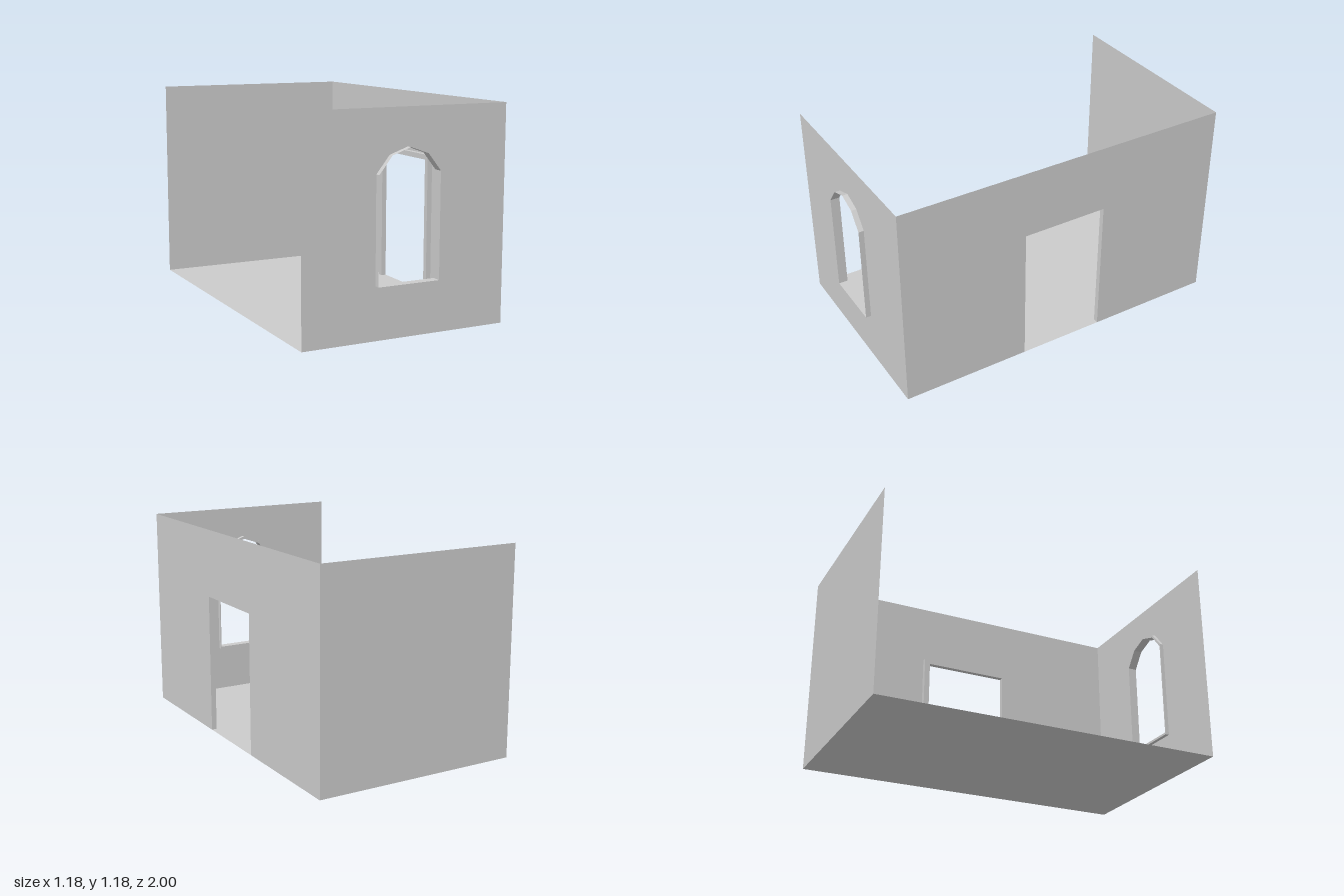
import * as THREE from 'three';

const X = 0.59, H = 1.18, BACK = -1, FRONT = 0.97;
const grey = new THREE.MeshStandardMaterial({ color: 0xcccccc, flatShading: true, side: THREE.DoubleSide });

const outline = (pts) => pts.map(([x, y]) => new THREE.Vector2(x, y));

// Pointed-arch outline, mirrored about x = 0
function arch(halfWidth, bottom, spring, shoulderX, shoulderY, apex) {
  const right = [[halfWidth, bottom], [halfWidth, spring], [shoulderX, shoulderY]];
  const left = right.map(([x, y]) => [-x, y]).reverse();
  return outline([...right, [0, apex], ...left]);
}

// Doorway outline standing on the floor
const doorway = (x0, x1, top) => [[x0, 0], [x0, top], [x1, top], [x1, 0]];

function add(parent, name, geometry) {
  const mesh = new THREE.Mesh(geometry, grey);
  mesh.name = name;
  parent.add(mesh);
  return mesh;
}

const extrude = (shape, depth) => new THREE.ExtrudeGeometry(shape, { depth, bevelEnabled: false });

// Open tube of zero thickness following a closed outline
function sleeve(pts, z0, z1) {
  const position = [], index = [], n = pts.length;
  pts.forEach((p) => position.push(p.x, p.y, z0, p.x, p.y, z1));
  for (let i = 0; i < n; i++) {
    const a = 2 * i, b = 2 * ((i + 1) % n);
    index.push(a, b, b + 1, a, b + 1, a + 1);
  }
  const g = new THREE.BufferGeometry();
  g.setAttribute('position', new THREE.Float32BufferAttribute(position, 3));
  g.setIndex(index);
  const flat = g.toNonIndexed();
  flat.computeVertexNormals();
  return flat;
}

export function createModel() {
  const room = new THREE.Group();
  room.name = 'room';

  // Floor and plain back wall
  const floor = add(room, 'floor', new THREE.PlaneGeometry(2 * X, FRONT - BACK));
  floor.rotation.x = -Math.PI / 2;
  floor.position.z = (FRONT + BACK) / 2;
  const backWall = add(room, 'backWall', new THREE.PlaneGeometry(2 * X, H));
  backWall.rotation.y = Math.PI;
  backWall.position.set(0, H / 2, BACK);

  // Front wall with an arched window opening
  const outer = arch(0.184, 0.272, 0.865, 0.107, 0.96, 0.997);
  const inner = arch(0.178, 0.285, 0.851, 0.104, 0.944, 0.98);
  const front = new THREE.Shape(outline([[-X, 0], [X, 0], [X, H], [-X, H]]));
  front.holes.push(new THREE.Path(outer));
  add(room, 'frontWall', new THREE.ShapeGeometry(front)).position.z = FRONT;

  // Window frame: a ring behind the wall and a thin sleeve standing out of it
  const ring = new THREE.Shape(outer);
  ring.holes.push(new THREE.Path(inner));
  add(room, 'windowFrame', extrude(ring, 0.022)).position.z = FRONT - 0.022;
  add(room, 'windowSleeve', sleeve(inner, FRONT - 0.022, 1));

  // Left wall with a doorway, drawn in its own plane (local x runs to the back)
  const side = new THREE.Group();
  side.name = 'leftSide';
  side.rotation.y = Math.PI / 2;
  side.position.x = X;
  room.add(side);
  const doorOuter = doorway(-0.265, 0.295, 0.825);
  const doorInner = doorway(-0.235, 0.262, 0.795);
  const wall = new THREE.Shape(outline([[-FRONT, 0], ...doorOuter, [-BACK, 0], [-BACK, H], [-FRONT, H]]));
  add(side, 'leftWall', new THREE.ShapeGeometry(wall));

  // Door frame, flush with the outside of the wall
  const frame = new THREE.Shape(outline([...doorOuter, ...doorInner.reverse()]));
  add(side, 'doorFrame', extrude(frame, 0.03)).position.z = -0.03;

  return room;
}
